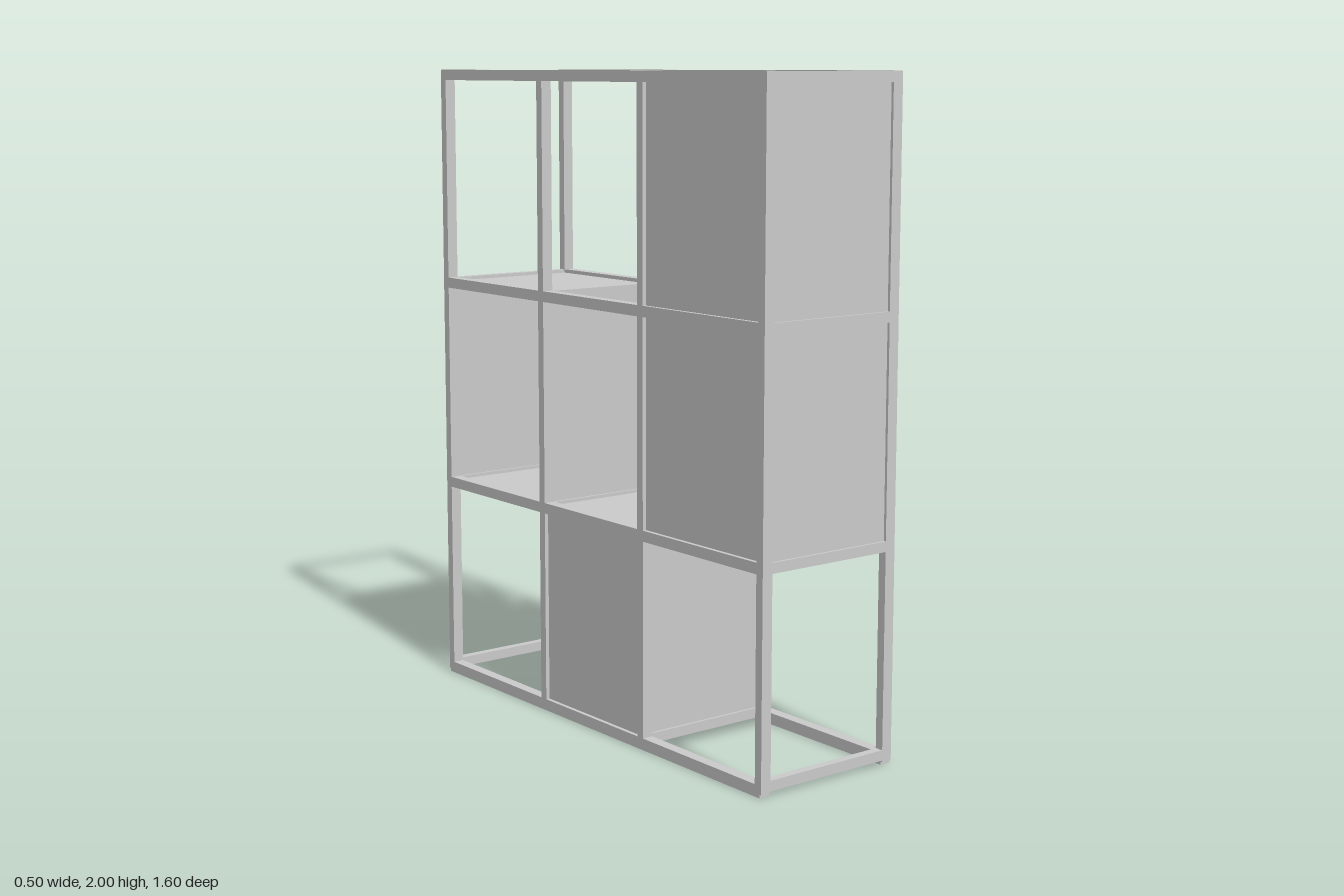
import * as THREE from 'three';

// Open shelving frame: 3 columns (along z) by 3 rows (along y), four cells boxed in.
const X = 0.2325;                          // centre of the long side frames
const BAR_X = 0.035, BAR_Y = 0.033, BAR_Z = 0.027;
const COLS = [0.787, 0.25, -0.25, -0.787]; // post centres, front to back
const ROWS = [0.02, 0.652, 1.314, 1.984];  // rail centres, bottom to top
const THICK = 0.01;

export function createModel() {
  const model = new THREE.Group();
  const material = new THREE.MeshStandardMaterial({ color: 0xcccccc });

  const box = (parent, name, size, pos) => {
    const mesh = new THREE.Mesh(new THREE.BoxGeometry(...size), material);
    mesh.name = name;
    mesh.position.set(...pos);
    parent.add(mesh);
  };

  // Frame: posts, long rails and cross rails
  const frame = new THREE.Group();
  frame.name = 'frame';
  model.add(frame);
  for (const side of [-1, 1]) {
    for (const z of COLS) box(frame, 'post', [BAR_X, 1.99, BAR_Z], [side * X, 1.005, z]);
    ROWS.forEach((y, r) => {
      const cy = r === 0 ? 0.018 : y;
      box(frame, 'longRail', [BAR_X, r === 0 ? 0.036 : BAR_Y, 1.59], [side * X, cy, 0]);
    });
  }
  ROWS.forEach((y, r) => {
    for (const z of COLS) {
      box(frame, 'crossRail', [2 * X - BAR_X, BAR_Y - 0.002, BAR_Z], [0, r === 0 ? 0.03 : y, z]);
    }
  });

  // Boxed cells: [column, row, side closed by a panel]
  const cells = [[0, 2, -1], [0, 1, -1], [1, 0, -1], [2, 1, 1]];
  const panels = new THREE.Group();
  panels.name = 'panels';
  model.add(panels);
  const shelves = new Set(), dividers = new Set();
  for (const [c, r, side] of cells) {
    const z = (COLS[c] + COLS[c + 1]) / 2, depth = COLS[c] - COLS[c + 1];
    const y = (ROWS[r] + ROWS[r + 1]) / 2, height = ROWS[r + 1] - ROWS[r];
    box(panels, 'sidePanel', [THICK, height, depth], [side * X, y, z]);
    // Neighbouring cells share a shelf or divider, so each is built once
    for (const k of [r, r + 1]) {
      if (shelves.has(`${c},${k}`)) continue;
      shelves.add(`${c},${k}`);
      box(panels, 'shelf', [2 * X, THICK, depth], [0, ROWS[k], z]);
    }
    for (const k of [c, c + 1]) {
      if (dividers.has(`${k},${r}`)) continue;
      dividers.add(`${k},${r}`);
      box(panels, 'divider', [2 * X, height, THICK], [0, y, COLS[k]]);
    }
  }
  return model;
}
